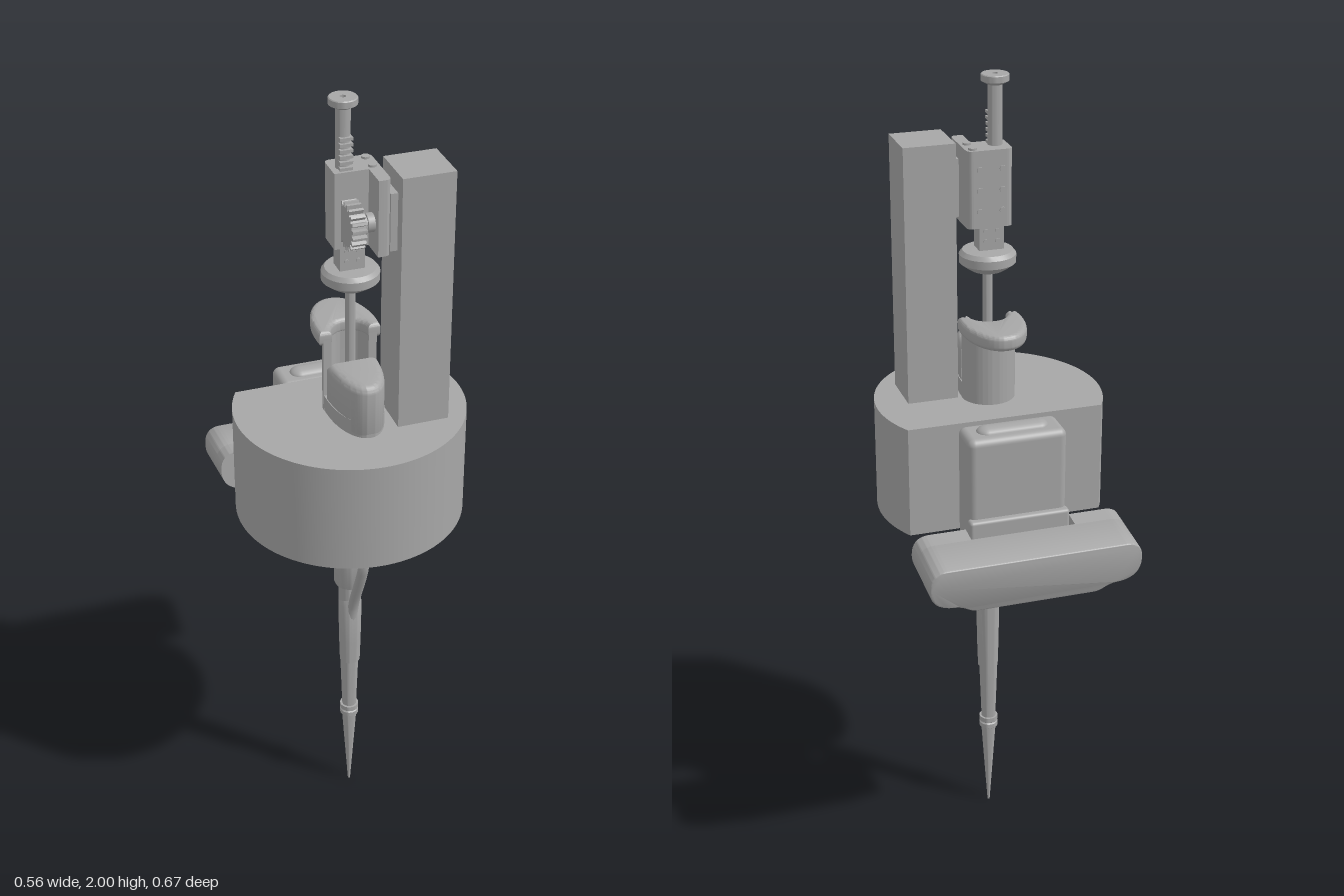
import * as THREE from 'three';
import { toCreasedNormals } from 'three/addons/utils/BufferGeometryUtils.js';
import { RoundedBoxGeometry } from 'three/addons/geometries/RoundedBoxGeometry.js';

export function createModel() {
  const model = new THREE.Group();
  model.name = 'motorisedPipette';
  const grey = new THREE.MeshStandardMaterial({ color: 0xa6a6a6 });
  grey.name = 'grey';
  const AX = 0.06; // z of the pipette axis

  const add = (name, geo, x = 0, y = 0, z = 0, parent = model) => {
    const mesh = new THREE.Mesh(geo, grey);
    mesh.name = name;
    mesh.position.set(x, y, z);
    parent.add(mesh);
    return mesh;
  };
  // box given by its limits
  const box = (name, x0, x1, y0, y1, z0, z1, r = 0, parent = model) => {
    const s = [x1 - x0, y1 - y0, z1 - z0];
    const geo = r ? new RoundedBoxGeometry(...s, 4, r) : new THREE.BoxGeometry(...s);
    return add(name, geo, (x0 + x1) / 2, (y0 + y1) / 2, (z0 + z1) / 2, parent);
  };
  const extrude = (shape, depth, bevel = 0) => toCreasedNormals(new THREE.ExtrudeGeometry(shape, {
    depth: depth - 2 * bevel, curveSegments: 40, bevelEnabled: bevel > 0,
    bevelSize: bevel, bevelThickness: bevel, bevelOffset: -bevel, bevelSegments: 5,
  }).translate(0, 0, bevel), 0.6);
  // outline drawn in x and -z, raised from y0 to y1
  const plan = (name, shape, y0, y1, bevel = 0) =>
    add(name, extrude(shape, y1 - y0, bevel).rotateX(-Math.PI / 2), 0, y0, 0);
  // turned part from [radius, y] pairs
  const turned = (name, pts, x = 0, z = AX) => add(name, toCreasedNormals(
    new THREE.LatheGeometry(pts.map(p => new THREE.Vector2(...p)), 40), 0.5), x, 0, z);
  const rodX = (name, r, x0, x1, y, z) => add(name,
    new THREE.CylinderGeometry(r, r, x1 - x0, 24).rotateZ(Math.PI / 2), (x0 + x1) / 2, y, z);

  // main drum with flat back
  const drum = new THREE.Shape();
  drum.absarc(0, -0.055, 0.28, Math.PI * 5 / 6, Math.PI * 13 / 6, false);
  drum.closePath();
  plan('drumHousing', drum, 0.93, 1.21);

  // square column
  box('column', 0.075, 0.201, 1.21, 1.845, 0.062, 0.187);

  // rear battery box with capsule button
  box('rearBox', -0.122, 0.122, 0.873, 1.205, -0.184, -0.084, 0.018);
  box('rearBoxLip', -0.125, 0.125, 0.9, 1.0, -0.2, -0.17, 0.008);
  add('capsuleButton', new THREE.CapsuleGeometry(0.026, 0.126, 8, 24).rotateZ(Math.PI / 2)
    .scale(1, 0.6, 1), 0, 1.202, -0.133);

  // tilted rear pod, its front layer notched around the box
  const pod = new THREE.Group();
  pod.name = 'rearPod';
  pod.position.set(0, 0.862, -0.167);
  pod.rotation.x = -0.1;
  model.add(pod);
  const podShape = notch => {
    const s = new THREE.Shape();
    s.moveTo(-0.14, -0.012);
    s.lineTo(0.14, -0.012);
    s.bezierCurveTo(0.17, -0.012, 0.17, 0.003, 0.2, 0.006);
    s.bezierCurveTo(0.245, 0.008, 0.263, 0.03, 0.263, 0.065);
    s.quadraticCurveTo(0.263, 0.113, 0.22, 0.113);
    if (notch) {
      s.lineTo(0.13, 0.113);
      s.lineTo(0.13, 0.025);
      s.lineTo(-0.13, 0.025);
      s.lineTo(-0.13, 0.113);
    }
    s.lineTo(-0.22, 0.113);
    s.quadraticCurveTo(-0.263, 0.113, -0.263, 0.065);
    s.bezierCurveTo(-0.263, 0.03, -0.245, 0.008, -0.2, 0.006);
    s.bezierCurveTo(-0.17, 0.003, -0.17, -0.012, -0.14, -0.012);
    return s;
  };
  add('podBody', extrude(podShape(false), 0.118, 0.005), 0, 0, -0.158, pod);
  add('podRim', extrude(podShape(true), 0.048), 0, 0, -0.046, pod);

  // handle: teardrop nose, hollow back shell and finger hook
  const teardrop = (w, zBack, zFront) => {
    const s = new THREE.Shape();
    s.moveTo(0, -zBack);
    s.bezierCurveTo(-w * 0.6, -zBack, -w, -zBack - 0.03, -w, -zBack - 0.065);
    s.bezierCurveTo(-w, -zFront + 0.05, -w * 0.5, -zFront, 0, -zFront);
    s.bezierCurveTo(w * 0.5, -zFront, w, -zFront + 0.05, w, -zBack - 0.065);
    s.bezierCurveTo(w, -zBack - 0.03, w * 0.6, -zBack, 0, -zBack);
    return s;
  };
  plan('handleBase', teardrop(0.065, 0, 0.21), 1.2, 1.25);
  const nose = new THREE.Shape();
  nose.moveTo(0.063, -0.075);
  nose.lineTo(-0.063, -0.075);
  nose.bezierCurveTo(-0.06, -0.15, -0.04, -0.21, 0, -0.21);
  nose.bezierCurveTo(0.04, -0.21, 0.06, -0.15, 0.063, -0.075);
  plan('handleNose', nose, 1.2, 1.345, 0.02);
  const shell = new THREE.Shape();
  shell.absarc(0, -AX, 0.066, 0, Math.PI, false);
  shell.absarc(0, -AX, 0.046, Math.PI, 0, true);
  shell.closePath();
  plan('handleShell', shell, 1.2, 1.4);
  const hook = new THREE.Shape();
  hook.moveTo(0.075, -0.06);
  hook.bezierCurveTo(0.085, 0.02, 0.055, 0.1, 0, 0.1);
  hook.bezierCurveTo(-0.055, 0.1, -0.085, 0.02, -0.075, -0.06);
  hook.lineTo(-0.045, -0.06);
  hook.absarc(0, -0.06, 0.045, Math.PI, 0, true);
  hook.closePath();
  plan('fingerHook', hook, 1.383, 1.422, 0.012);

  // plunger rod and thumb disc
  turned('plungerRod', [[0, 1.2], [0.012, 1.2], [0.012, 1.56], [0, 1.56]]);
  turned('thumbDisc', [[0, 1.535], [0.04, 1.535], [0.055, 1.545], [0.068, 1.555], [0.068, 1.575],
    [0.06, 1.585], [0.025, 1.588], [0, 1.588]]);

  // slider below the drive bracket
  box('sliderFoot', -0.034, 0.026, 1.588, 1.66, 0.04, 0.085);
  for (const x of [-0.018, 0.01]) for (const y of [1.61, 1.635]) for (const z of [0.039, 0.086])
    add('sliderPin', new THREE.CylinderGeometry(0.006, 0.006, 0.004, 12).rotateX(Math.PI / 2), x, y, z);

  // drive bracket with arm for the gear
  const bracket = new THREE.Shape();
  bracket.moveTo(-0.05, -0.035);
  bracket.quadraticCurveTo(-0.05, -0.02, -0.035, -0.02);
  bracket.lineTo(0.045, -0.02);
  bracket.quadraticCurveTo(0.06, -0.02, 0.06, -0.035);
  bracket.lineTo(0.06, -0.145);
  bracket.quadraticCurveTo(0.06, -0.16, 0.045, -0.16);
  bracket.lineTo(0.03, -0.16);
  bracket.lineTo(0.03, -0.095);
  bracket.lineTo(-0.05, -0.095);
  bracket.closePath();
  plan('driveBracket', bracket, 1.65, 1.835);
  for (const z of [0.036, 0.081])
    add('bracketScrew', new THREE.CylinderGeometry(0.01, 0.01, 0.006, 20), 0.043, 1.837, z);
  for (const y of [1.69, 1.74, 1.79]) for (const x of [-0.025, 0.03])
    add('backScrew', new THREE.CylinderGeometry(0.008, 0.008, 0.006, 16).rotateX(Math.PI / 2), x, y, 0.019);
  box('motorFlange', 0.058, 0.078, 1.66, 1.8, 0.09, 0.16);

  // spur gear and its shaft
  const gearShape = new THREE.Shape();
  const teeth = 20;
  for (let i = 0; i < teeth; i++) {
    [[0, 0.046], [0.25, 0.046], [0.4, 0.056], [0.75, 0.056], [0.9, 0.046]].forEach(([f, r], k) => {
      const a = (i + f) / teeth * Math.PI * 2;
      gearShape[i + k ? 'lineTo' : 'moveTo'](r * Math.cos(a), r * Math.sin(a));
    });
  }
  gearShape.closePath();
  add('gear', extrude(gearShape, 0.034).rotateY(Math.PI / 2), -0.035, 1.72, 0.122);
  rodX('gearHub', 0.03, -0.002, 0.008, 1.72, 0.122);
  rodX('gearShaft', 0.016, 0, 0.08, 1.72, 0.122);
  rodX('gearCollar', 0.022, 0.014, 0.032, 1.72, 0.122);

  // rack rod with hollow cap on top
  turned('rackRod', [[0, 1.64], [0.017, 1.64], [0.017, 1.985], [0, 1.985]], -0.02, 0.065);
  turned('rackCap', [[0, 1.975], [0.017, 1.975], [0.033, 1.984], [0.033, 1.998], [0.031, 2],
    [0.007, 2], [0.007, 1.985], [0, 1.985]], -0.02, 0.065);
  for (let i = 0; i < 6; i++)
    box('rackTooth', -0.034, -0.004, 1.835 + i * 0.014, 1.842 + i * 0.014, 0.07, 0.088);

  // lower body, stepped shaft and disposable tip
  plan('lowerCollar', teardrop(0.063, 0, 0.182), 0.857, 0.94);
  turned('neck', [[0, 0.68], [0.036, 0.68], [0.04, 0.69], [0.04, 0.78], [0.057, 0.785],
    [0.058, 0.84], [0.05, 0.845], [0.05, 0.87], [0, 0.87]]);
  turned('shaft', [[0, 0.26], [0.018, 0.26], [0.024, 0.44], [0.029, 0.69], [0, 0.69]]);
  turned('tip', [[0, 0], [0.003, 0], [0.011, 0.12], [0.019, 0.24], [0.024, 0.244], [0.024, 0.256],
    [0.021, 0.259], [0.024, 0.262], [0.024, 0.275], [0, 0.275]]);

  // ejector arm bending in to the shaft, with sleeve
  const path = new THREE.CatmullRomCurve3([[0.87, 0.166], [0.8, 0.164], [0.76, 0.15], [0.64, 0.096],
    [0.6, 0.085], [0.5, 0.078], [0.43, 0.074]].map(([y, z]) => new THREE.Vector3(0, y, z)));
  add('ejectorArm', new THREE.TubeGeometry(path, 40, 0.011, 12).scale(1.3, 1, 1));
  turned('ejectorSleeve', [[0.02, 0.43], [0.026, 0.432], [0.028, 0.5], [0.03, 0.62], [0.024, 0.64]], 0, 0.064);

  return model;
}
